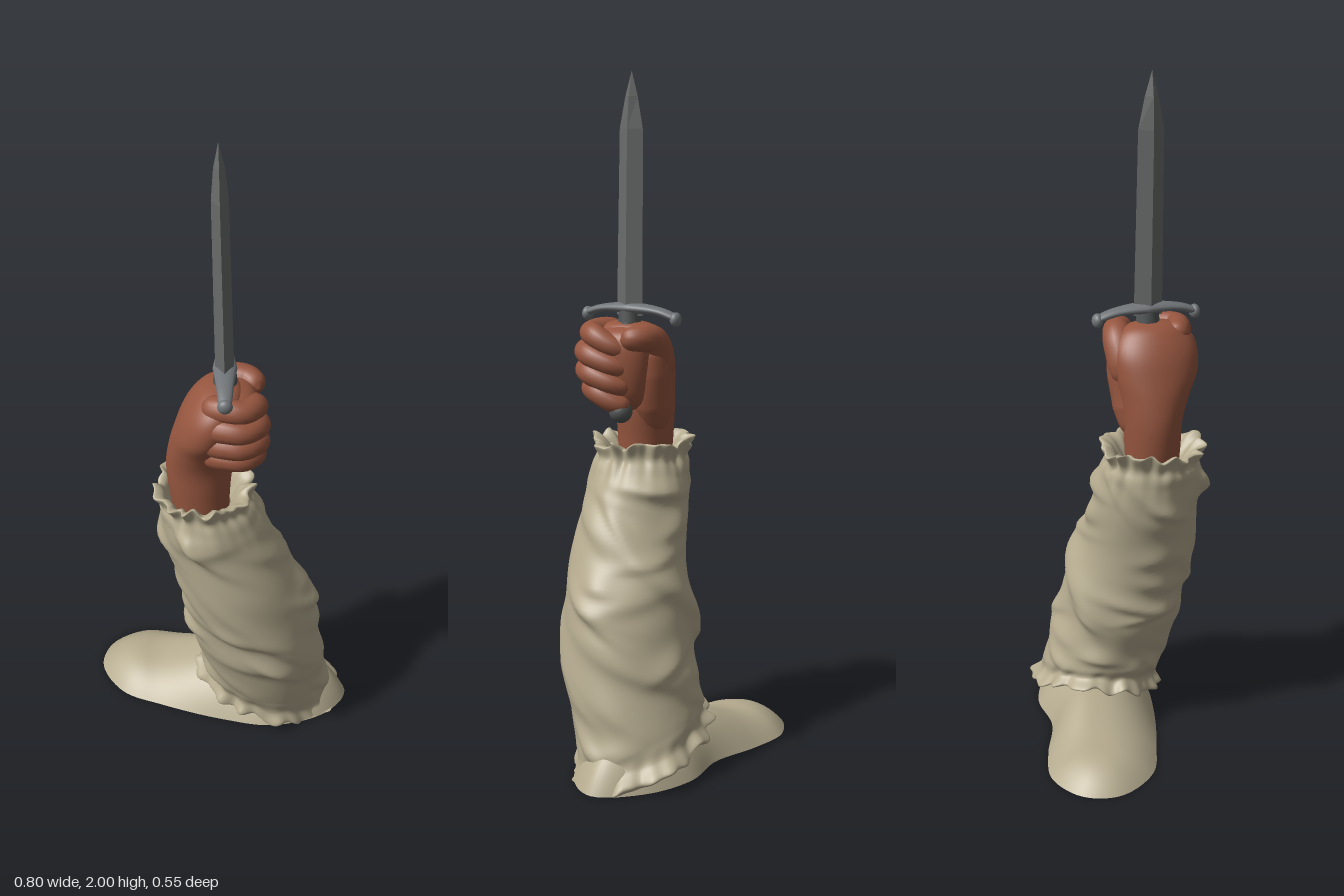
import * as THREE from 'three';

const V = (x, y, z) => new THREE.Vector3(x, y, z);
const mat = (name, color, side = THREE.FrontSide) => {
  const m = new THREE.MeshStandardMaterial({ color, side });
  m.name = name;
  return m;
};

// Closed-around grid: fn(t, a) gives a point for t in 0..1 and angle a
function grid(rows, cols, fn) {
  const pos = [], idx = [];
  for (let i = 0; i <= rows; i++) {
    for (let j = 0; j < cols; j++) pos.push(...fn(i / rows, (j / cols) * Math.PI * 2).toArray());
  }
  for (let i = 0; i < rows; i++) {
    for (let j = 0; j < cols; j++) {
      const k = (j + 1) % cols, a = i * cols + j, b = i * cols + k;
      idx.push(a, a + cols, b, b, a + cols, b + cols);
    }
  }
  const g = new THREE.BufferGeometry();
  g.setAttribute('position', new THREE.Float32BufferAttribute(pos, 3));
  g.setIndex(idx);
  g.computeVertexNormals();
  return g;
}

// Loft through elliptical sections [y, cx, cz, rx, rz, gather]
function loft(sections, rows, cols, warp) {
  const mid = new THREE.CatmullRomCurve3(sections.map(s => V(s[1], s[0], s[2])), false, 'catmullrom');
  const rad = new THREE.CatmullRomCurve3(sections.map(s => V(s[3], s[4], s[5] || 0)), false, 'catmullrom');
  return grid(rows, cols, (t, a) => {
    const c = mid.getPoint(t), r = rad.getPoint(t);
    const w = warp ? warp(c.y, a, r.z) : { out: 0, up: 0 };
    return V(c.x + Math.cos(a) * (r.x + w.out), c.y + w.up, c.z + Math.sin(a) * (r.y + w.out));
  });
}

// Round-ended tube whose radius runs through a list of values
function limb(points, radii, rows = 36, cols = 18) {
  const curve = new THREE.CatmullRomCurve3(points.map(p => V(...p)));
  const len = curve.getLength(), frames = curve.computeFrenetFrames(rows);
  return grid(rows, cols, (t, a) => {
    const f = t * (radii.length - 1), i = Math.min(Math.floor(f), radii.length - 2);
    let r = THREE.MathUtils.lerp(radii[i], radii[i + 1], f - i);
    const end = Math.min(1, Math.min(t, 1 - t) * len / r);
    r *= Math.sqrt(1 - (1 - end) ** 2);
    const k = Math.round(t * rows);
    return curve.getPointAt(t)
      .addScaledVector(frames.normals[k], Math.cos(a) * r)
      .addScaledVector(frames.binormals[k], -Math.sin(a) * r);
  });
}

// Seeded cloth folds: slanted ridges, steeper on the lower side
function makeFolds() {
  let seed = 11;
  const rnd = (lo, hi) => {
    seed = (seed * 16807) % 2147483647;
    return lo + (hi - lo) * (seed / 2147483647);
  };
  const folds = [
    { y: 0.53, a: 4.9, slope: 0.13, len: 1.1, w: 0.045, amp: 0.026 },
    { y: 0.33, a: 5.6, slope: 0.08, len: 1, w: 0.04, amp: 0.016 },
  ];
  for (let i = 0; i < 44; i++) {
    folds.push({
      y: rnd(0.12, 0.84), a: rnd(0, 6.283), slope: rnd(-0.06, 0.18),
      len: rnd(0.25, 0.75), w: rnd(0.02, 0.045), amp: rnd(0.006, 0.018),
    });
  }
  return (y, a) => {
    let d = -0.007;
    for (const f of folds) {
      const da = Math.atan2(Math.sin(a - f.a), Math.cos(a - f.a));
      const q = (y - f.y - f.slope * da) / f.w;
      d += f.amp * Math.exp(-((da / f.len) ** 2)) * Math.exp(-q * q * (q > 0 ? 0.5 : 2));
    }
    return d;
  };
}

export function createModel() {
  const root = new THREE.Group();
  const cloth = mat('cloth', 0xb5ab8f, THREE.DoubleSide);
  const skin = mat('skin', 0x96563f);
  const steel = mat('bladeSteel', 0x696b6b);
  const guardMetal = mat('guardMetal', 0x717578);
  const darkMetal = mat('darkMetal', 0x525555);
  const add = (name, geo, material, parent = root) => {
    const m = new THREE.Mesh(geo, material);
    m.name = name;
    parent.add(m);
    return m;
  };

  // Bean-shaped base with a domed top and a flat sole
  const outline = new THREE.CatmullRomCurve3([
    [0.398, 0], [0.33, 0.1], [0.16, 0.155], [0, 0.13], [-0.2, 0.065], [-0.33, 0.005],
    [-0.403, -0.12], [-0.372, -0.225], [-0.26, -0.284], [-0.13, -0.258], [0.02, -0.2],
    [0.17, -0.2], [0.31, -0.13],
  ].map(p => V(p[0], 0, p[1])), true);
  add('base', grid(14, 96, (t, a) => {
    const p = outline.getPoint(a / (Math.PI * 2));
    const sx = THREE.MathUtils.clamp(p.x, -0.25, 0.24);
    const spine = V(sx, 0, THREE.MathUtils.mapLinear(sx, -0.25, 0.24, -0.13, -0.02));
    p.lerp(spine, t);
    const h = 0.07 + 0.06 * THREE.MathUtils.smoothstep(p.x, -0.24, 0);
    p.y = h * (1 - (1 - t) ** 2.5);
    return p;
  }), cloth);
  const sole = new THREE.ShapeGeometry(new THREE.Shape(
    outline.getPoints(96).slice(0, 96).map(p => new THREE.Vector2(p.x, p.z))));
  add('sole', sole.rotateX(Math.PI / 2), cloth);

  // Wrinkled sleeve with gathered frills at both ends
  const folds = makeFolds();
  const smooth = THREE.MathUtils.smoothstep;
  add('sleeve', loft([
    [0.05, 0.16, -0.02, 0.17, 0.15, 0],
    [0.065, 0.145, -0.02, 0.23, 0.195, 1],
    [0.105, 0.14, -0.01, 0.2, 0.178, 0.4],
    [0.15, 0.13, 0, 0.203, 0.19, 0],
    [0.22, 0.122, 0.02, 0.197, 0.192, 0],
    [0.33, 0.1, 0.045, 0.203, 0.19, 0],
    [0.45, 0.083, 0.06, 0.197, 0.19, 0],
    [0.6, 0.04, 0.088, 0.18, 0.178, 0],
    [0.75, -0.015, 0.09, 0.161, 0.161, 0],
    [0.85, -0.042, 0.093, 0.145, 0.15, 0.15],
    [0.895, -0.052, 0.095, 0.128, 0.135, 0.45],
    [0.935, -0.057, 0.095, 0.14, 0.148, 1],
    [0.925, -0.06, 0.095, 0.112, 0.12, 0.6],
    [0.87, -0.065, 0.09, 0.085, 0.08, 0],
  ], 170, 144, (y, a, gather) => {
    const body = smooth(y, 0.1, 0.16) * (1 - smooth(y, 0.83, 0.88));
    const wave = Math.sin(11 * a + 2 * Math.sin(3 * a)) + 0.4 * Math.sin(23 * a);
    // The lower end is tilted down towards its left and front
    const tilt = Math.max(0, 1 - y / 0.4) * (-0.085 * Math.cos(a) - 0.035 * Math.sin(a));
    const up = tilt + gather * 0.012 * Math.sin(7 * a + 2 * Math.sin(4 * a));
    return { out: body * folds(y, a) + gather * 0.01 * wave, up: Math.max(up, 0.004 - y) };
  }), cloth);

  // Fist: wrist and palm, closed core, wrapped fingers, thumb
  const hand = new THREE.Group();
  hand.name = 'hand';
  root.add(hand);
  add('palm', loft([
    [0.84, -0.065, 0.09, 0.08, 0.075],
    [0.94, -0.07, 0.09, 0.09, 0.08],
    [1.02, -0.068, 0.09, 0.096, 0.085],
    [1.09, -0.062, 0.098, 0.092, 0.1],
    [1.15, -0.05, 0.108, 0.088, 0.12],
    [1.21, -0.033, 0.11, 0.083, 0.125],
    [1.255, -0.016, 0.11, 0.072, 0.108],
    [1.285, -0.008, 0.108, 0.048, 0.07],
    [1.298, -0.005, 0.105, 0, 0],
  ], 48, 40), skin, hand);
  add('fistCore', loft([
    [1.02, 0.0, 0.09, 0, 0],
    [1.06, 0.02, 0.1, 0.045, 0.06],
    [1.13, 0.035, 0.11, 0.058, 0.09],
    [1.22, 0.04, 0.105, 0.058, 0.095],
    [1.265, 0.035, 0.1, 0.045, 0.08],
    [1.285, 0.03, 0.1, 0, 0],
  ], 30, 32), skin, hand);
  const reach = [-0.006, 0.012, 0.01, -0.01];
  for (let i = 0; i < 4; i++) {
    const y = 1.262 - 0.054 * i, e = reach[i];
    add('finger' + (i + 1), limb([
      [-0.055, y - 0.01, 0.165 + e],
      [0.0, y, 0.199 + e],
      [0.05, y - 0.002, 0.208 + e],
      [0.087 + e / 3, y - 0.008, 0.172 + e],
      [0.086 + e / 3, y - 0.032, 0.115],
      [0.055, y - 0.05, 0.068],
    ], [0.036, 0.037, 0.033, 0.034, 0.031, 0.027]), skin, hand);
  }
  add('thumbBase', limb([[-0.06, 0.96, 0.055], [-0.025, 1.07, 0.045], [-0.005, 1.17, 0.03], [0.01, 1.25, 0.025]],
    [0.045, 0.062, 0.058, 0.042]), skin, hand);
  add('thumb', limb([[-0.04, 1.12, 0.025], [-0.015, 1.2, 0.015], [0.025, 1.248, 0.015], [0.07, 1.255, 0.032],
    [0.1, 1.25, 0.075]], [0.04, 0.046, 0.045, 0.04, 0.03]), skin, hand);

  // Dagger: faceted diamond blade, curved guard, grip and pommel
  const dagger = new THREE.Group();
  dagger.name = 'dagger';
  root.add(dagger);
  const blade = loft([
    [1.31, 0.003, 0.1, 0.026, 0.043],
    [1.84, -0.01, 0.1, 0.023, 0.038],
    [1.93, -0.012, 0.1, 0.015, 0.02],
    [2, -0.014, 0.1, 0, 0],
  ], 3, 4).toNonIndexed();
  blade.computeVertexNormals();
  add('blade', blade, steel, dagger);
  const guard = add('guard', limb([
    [0.003, -0.05, -0.06], [0.003, -0.012, 0], [0.003, 0, 0.097], [0.003, -0.012, 0.19], [0.003, -0.05, 0.25],
  ], [0.017, 0.024, 0.034, 0.024, 0.017]), guardMetal, dagger);
  guard.scale.y = 0.5;
  guard.position.y = 1.332;
  for (const z of [-0.052, 0.243]) {
    const knob = add('guardKnob', new THREE.SphereGeometry(0.021, 20, 14), guardMetal, dagger);
    knob.position.set(0.003, 1.307, z);
    knob.scale.z = 0.75;
  }
  const collar = add('collar', new THREE.CylinderGeometry(0.03, 0.034, 0.035, 16), darkMetal, dagger);
  collar.position.set(0.004, 1.31, 0.1);
  add('grip', limb([[0.004, 1.33, 0.1], [0.035, 1.18, 0.097], [0.068, 1.04, 0.093]], [0.022, 0.024, 0.02]),
    darkMetal, dagger);
  add('pommel', new THREE.SphereGeometry(0.034, 24, 16), darkMetal, dagger).position.set(0.068, 1.038, 0.093);

  return root;
}
